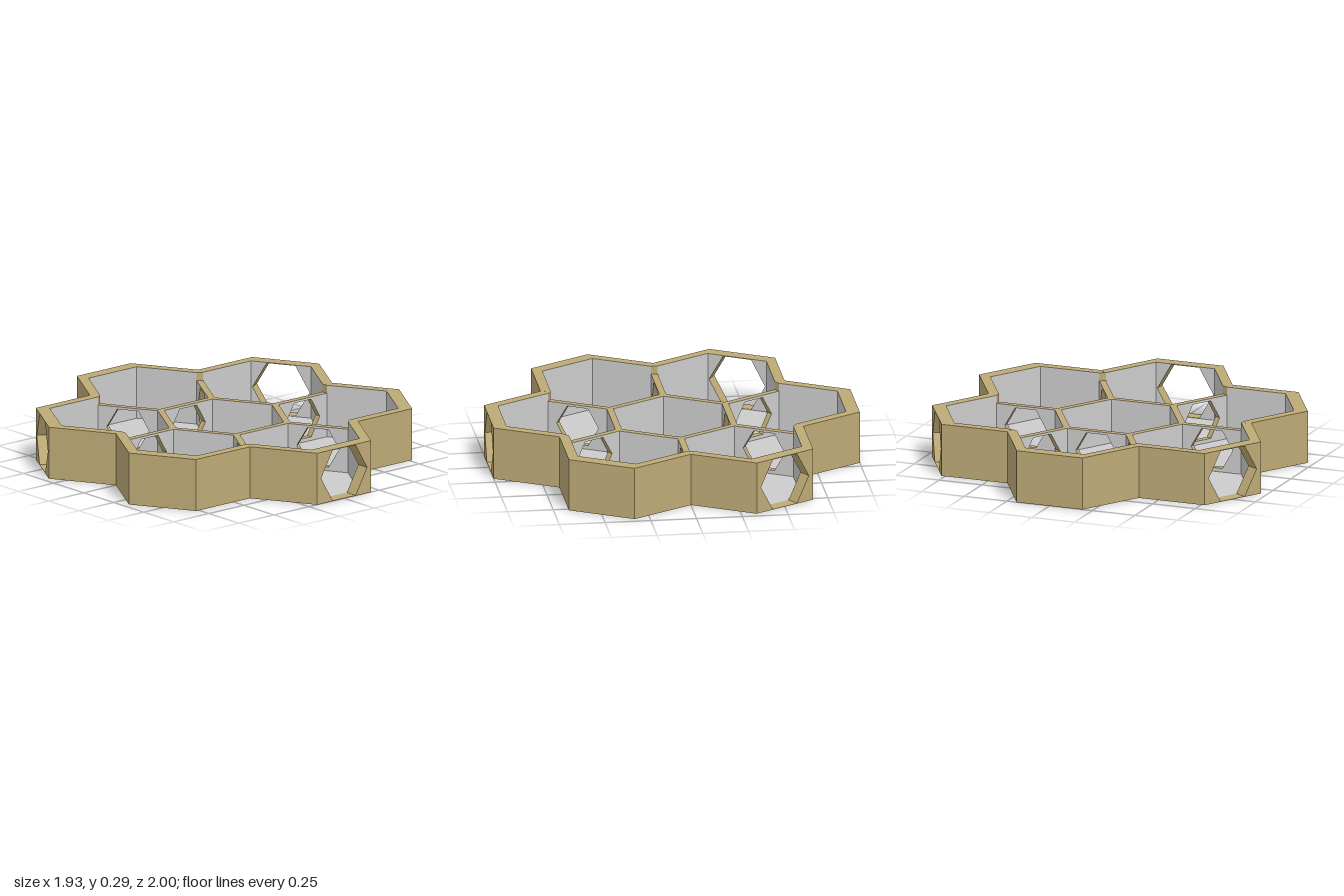
import * as THREE from 'three';

const OUT_R = 0.385, OUT_D = 0.667;    // outer hexagons: radius, distance from centre
const CELL_R = 0.343, CELL_D = 0.63;   // inner cells
const APO = Math.sqrt(3) / 2;
const HIGH = 0.29, LOW = 0.245;        // outer rim and inner wall heights
const BIG = { r: 0.164, y: 0.144 }, SMALL = { r: 0.122, y: 0.126 }; // openings
const RAD = Math.PI / 180;

const tan = new THREE.MeshStandardMaterial({ color: 0xbeaa76, side: THREE.DoubleSide, flatShading: true });
const grey = new THREE.MeshStandardMaterial({ color: 0xcccccc, side: THREE.DoubleSide, flatShading: true });

const theta = k => (30 + 60 * k) * RAD; // direction of side k, also of ring cell k
const polar = (a, d) => [Math.cos(a) * d, Math.sin(a) * d];
const centre = (j, d) => (j < 0 ? [0, 0] : polar(theta(j), d));

// corner k of the hexagon around a centre
function corner([x, z], r, k) {
  const [dx, dz] = polar(60 * k * RAD, r);
  return [x + dx, z + dz];
}
const cellCorner = (j, k) => corner(centre(j, CELL_D), CELL_R, k);
const shellCorner = (j, k) => corner(centre(j, OUT_D), OUT_R, k);

// upright wall panel on side k of a hexagon, with an optional hexagonal opening
function panel(name, mid, r, k, height, hole, material) {
  const w = r / 2;
  const shape = new THREE.Shape([[-w, 0], [w, 0], [w, height], [-w, height]].map(p => new THREE.Vector2(...p)));
  if (hole) {
    const pts = [];
    for (let i = 0; i < 6; i++) {
      const [x, y] = polar(-60 * i * RAD, hole.r);
      pts.push(new THREE.Vector2(x, hole.y + y));
    }
    shape.holes.push(new THREE.Path(pts));
  }
  const mesh = new THREE.Mesh(new THREE.ShapeGeometry(shape), material);
  const [dx, dz] = polar(theta(k), r * APO);
  mesh.position.set(mid[0] + dx, 0, mid[1] + dz);
  mesh.rotation.y = Math.PI / 2 - theta(k);
  mesh.name = name;
  return mesh;
}

// short hexagonal passage lining an opening
function tunnel(name, [x, z], angle, length, hole) {
  const geo = new THREE.CylinderGeometry(hole.r, hole.r, length, 6, 1, true);
  geo.rotateY(Math.PI / 6).rotateX(Math.PI / 2);
  const mesh = new THREE.Mesh(geo, tan);
  mesh.position.set(x, hole.y, z);
  mesh.rotation.y = Math.PI / 2 - angle;
  mesh.name = name;
  return mesh;
}

// mesh made of convex polygons with corners [x, y, z]
function faces(name, polygons) {
  const pos = [];
  for (const p of polygons) {
    for (let i = 1; i < p.length - 1; i++) pos.push(...p[0], ...p[i], ...p[i + 1]);
  }
  const geo = new THREE.BufferGeometry();
  geo.setAttribute('position', new THREE.Float32BufferAttribute(pos, 3));
  geo.computeVertexNormals();
  const mesh = new THREE.Mesh(geo, tan);
  mesh.name = name;
  return mesh;
}

// flat polygon at height y, wound to face up
function flat(y, ...pts) {
  let area = 0;
  pts.forEach(([x, z], i) => {
    const [nx, nz] = pts[(i + 1) % pts.length];
    area += x * nz - nx * z;
  });
  if (area > 0) pts.reverse();
  return pts.map(([x, z]) => [x, y, z]);
}

export function createModel() {
  const model = new THREE.Group();
  const shell = new THREE.Group(), cells = new THREE.Group(), tunnels = new THREE.Group();
  shell.name = 'outerShell';
  cells.name = 'cells';
  tunnels.name = 'tunnels';
  model.add(shell, cells, tunnels);

  const outerHole = j => j % 2 === 1;  // three openings to the outside
  const centreHole = j => j === 4;     // one opening into the middle cell

  // cells: floor and six walls each (-1 is the middle cell)
  for (let j = -1; j < 6; j++) {
    const mid = centre(j, CELL_D);
    const cell = new THREE.Group();
    cell.name = j < 0 ? 'middleCell' : 'ringCell';
    const floor = new THREE.Mesh(new THREE.CircleGeometry(CELL_R, 6).rotateX(-Math.PI / 2), grey);
    floor.position.set(mid[0], 0, mid[1]);
    floor.name = 'cellFloor';
    cell.add(floor);
    for (let k = 0; k < 6; k++) {
      const turn = (k - j + 6) % 6;
      let height = LOW, hole = null;
      if (j < 0) hole = centreHole(k) ? SMALL : null;
      else if (turn === 3) hole = centreHole(j) ? SMALL : null;
      else if (turn === 2 || turn === 4) hole = SMALL;
      else {
        height = HIGH;
        hole = turn === 0 && outerHole(j) ? BIG : null;
      }
      cell.add(panel('cellWall', mid, CELL_R, k, height, hole, grey));
    }
    cells.add(cell);
  }

  const outerRim = [], innerRim = [];
  for (let j = 0; j < 6; j++) {
    const n = (j + 1) % 6;
    // three outside walls and their rim
    for (let k = j - 1; k <= j + 1; k++) {
      const hole = k === j && outerHole(j) ? BIG : null;
      shell.add(panel('outerWall', centre(j, OUT_D), OUT_R, k, HIGH, hole, tan));
      outerRim.push(flat(HIGH, shellCorner(j, k), shellCorner(j, k + 1), cellCorner(j, k + 1), cellCorner(j, k)));
    }
    // notch between neighbouring cells, with the step down to the inner rim
    const a = cellCorner(j, j + 2), b = cellCorner(n, j);
    outerRim.push(flat(HIGH, shellCorner(j, j + 2), a, b));
    outerRim.push([[a[0], LOW, a[1]], [b[0], LOW, b[1]], [b[0], HIGH, b[1]], [a[0], HIGH, a[1]]]);
    // rims of the inner walls and of their meeting point
    innerRim.push(flat(LOW, a, cellCorner(j, j + 3), cellCorner(n, j - 1), b));
    innerRim.push(flat(LOW, cellCorner(j, j + 3), cellCorner(j, j + 4), cellCorner(-1, j), cellCorner(-1, j + 1)));
    innerRim.push(flat(LOW, cellCorner(-1, j + 1), cellCorner(j, j + 3), cellCorner(n, j + 5)));

    // passages through the walls
    const gap = CELL_D - 2 * CELL_R * APO;
    const between = (60 + 60 * j) * RAD;
    tunnels.add(tunnel('ringTunnel', polar(between, CELL_D * APO), between + Math.PI / 2, gap, SMALL));
    if (centreHole(j)) tunnels.add(tunnel('middleTunnel', polar(theta(j), CELL_D / 2), theta(j), gap, SMALL));
    if (outerHole(j)) {
      const near = CELL_D + CELL_R * APO, far = OUT_D + OUT_R * APO;
      tunnels.add(tunnel('entranceTunnel', polar(theta(j), (near + far) / 2), theta(j), far - near, BIG));
    }
  }
  shell.add(faces('outerRim', outerRim), faces('innerRim', innerRim));
  return model;
}
